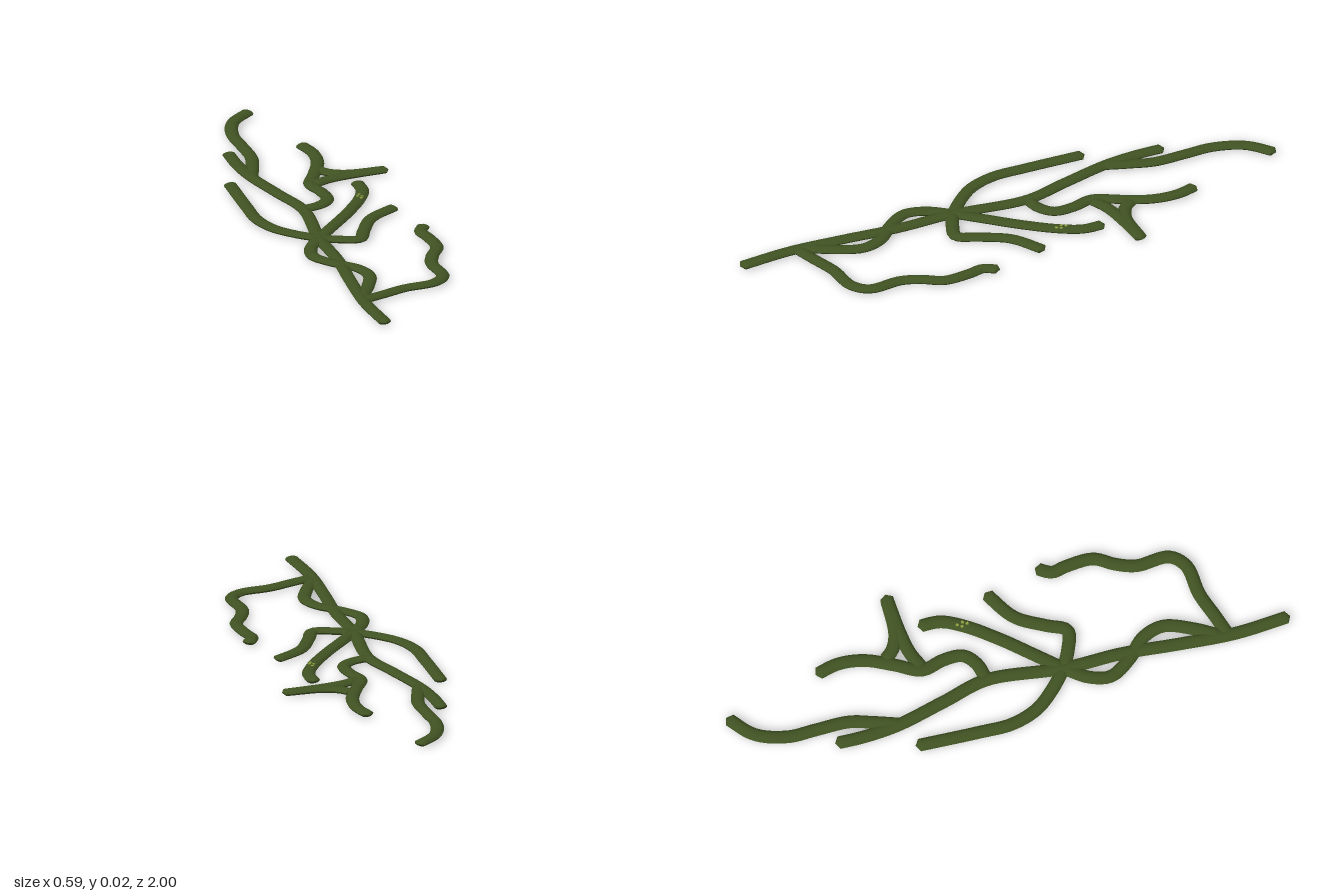
import * as THREE from 'three';
import { toCreasedNormals } from 'three/addons/utils/BufferGeometryUtils.js';

const WIDTH = 0.0235; // half width of a stem
const HEIGHT = 0.011; // half thickness of a stem

// Flattened tube along [x, z] points, with short blunt closed ends
function stemGeometry(points) {
  const curve = new THREE.CatmullRomCurve3(points.map(([x, z]) => new THREE.Vector3(x, 0, z)));
  const sides = 12;
  const segments = Math.max(12, Math.round(curve.getLength() / 0.014));
  const geo = new THREE.TubeGeometry(curve, segments, WIDTH, sides);
  const pos = geo.attributes.position;
  // Close each end: the outermost ring shrinks to the tip
  for (const [ring, t] of [[0, 0], [segments, 1]]) {
    const tip = curve.getPointAt(t);
    for (let j = 0; j <= sides; j++) {
      pos.setXYZ(ring * (sides + 1) + j, tip.x, tip.y, tip.z);
    }
  }
  geo.scale(1, HEIGHT / WIDTH, 1);
  geo.translate(0, HEIGHT, 0);
  geo.deleteAttribute('uv');
  return toCreasedNormals(geo, 0.8);
}

// Centre lines on the ground, as [x, z]
const STEMS = {
  mainStem: [[-0.1, 1], [-0.12, 0.8], [-0.115, 0.6], [-0.105, 0.4], [-0.113, 0.19],
    [-0.095, -0.08], [-0.14, -0.24], [-0.19, -0.42], [-0.205, -0.54], [-0.207, -0.645]],
  topShoot: [[-0.19, -0.4], [-0.16, -0.5], [-0.14, -0.58], [-0.143, -0.7], [-0.146, -0.8],
    [-0.112, -0.91], [-0.03, -0.992]],
  leftBranch: [[-0.113, 0.19], [-0.18, 0.135], [-0.24, 0.065], [-0.274, -0.03],
    [-0.278, -0.15], [-0.278, -0.375]],
  windingTendril: [[-0.113, 0.19], [-0.165, 0.27], [-0.178, 0.345], [-0.13, 0.42],
    [-0.063, 0.485], [-0.038, 0.56], [-0.07, 0.66], [-0.12, 0.755]],
  lowerRightBranch: [[-0.12, 0.775], [-0.04, 0.745], [0.05, 0.71], [0.16, 0.69],
    [0.206, 0.64], [0.2, 0.52], [0.222, 0.45], [0.258, 0.38], [0.252, 0.28], [0.242, 0.23], [0.27, 0.175]],
  middleBranch: [[-0.113, 0.19], [-0.05, 0.22], [0.02, 0.235], [0.055, 0.165],
    [0.11, 0.065], [0.22, -0.015]],
  diagonalBranch: [[-0.113, 0.19], [-0.04, 0.1], [0.04, 0.0], [0.115, -0.11],
    [0.15, -0.19], [0.15, -0.27]],
  upperRightBranch: [[-0.095, -0.08], [-0.03, -0.1], [0.01, -0.14], [0.01, -0.21], [-0.01, -0.29],
    [0.03, -0.38], [0.07, -0.48], [0.077, -0.57], [0.055, -0.655]],
  forkNearTwig: [[-0.005, -0.285], [0.06, -0.317], [0.14, -0.335], [0.29, -0.353]],
  forkFarTwig: [[0.05, -0.415], [0.085, -0.375], [0.14, -0.352], [0.28, -0.352]],
};

export function createModel() {
  const group = new THREE.Group();
  group.name = 'vine';
  const green = new THREE.MeshStandardMaterial({ name: 'mossGreen', color: 0x405222 });
  const lime = new THREE.MeshStandardMaterial({ name: 'paleLichen', color: 0x8f9f3c });

  for (const [name, points] of Object.entries(STEMS)) {
    const mesh = new THREE.Mesh(stemGeometry(points), green);
    mesh.name = name;
    group.add(mesh);
  }

  // Tiny pale flecks on the crest of the diagonal branch
  const fleck = new THREE.CylinderGeometry(0.006, 0.006, 0.001, 6);
  [[0.113, -0.12], [0.122, -0.135], [0.128, -0.115], [0.12, -0.1]].forEach(([x, z], i) => {
    const mesh = new THREE.Mesh(fleck, lime);
    mesh.name = `lichenFleck${i + 1}`;
    mesh.position.set(x, 0.0218, z);
    group.add(mesh);
  });
  return group;
}
